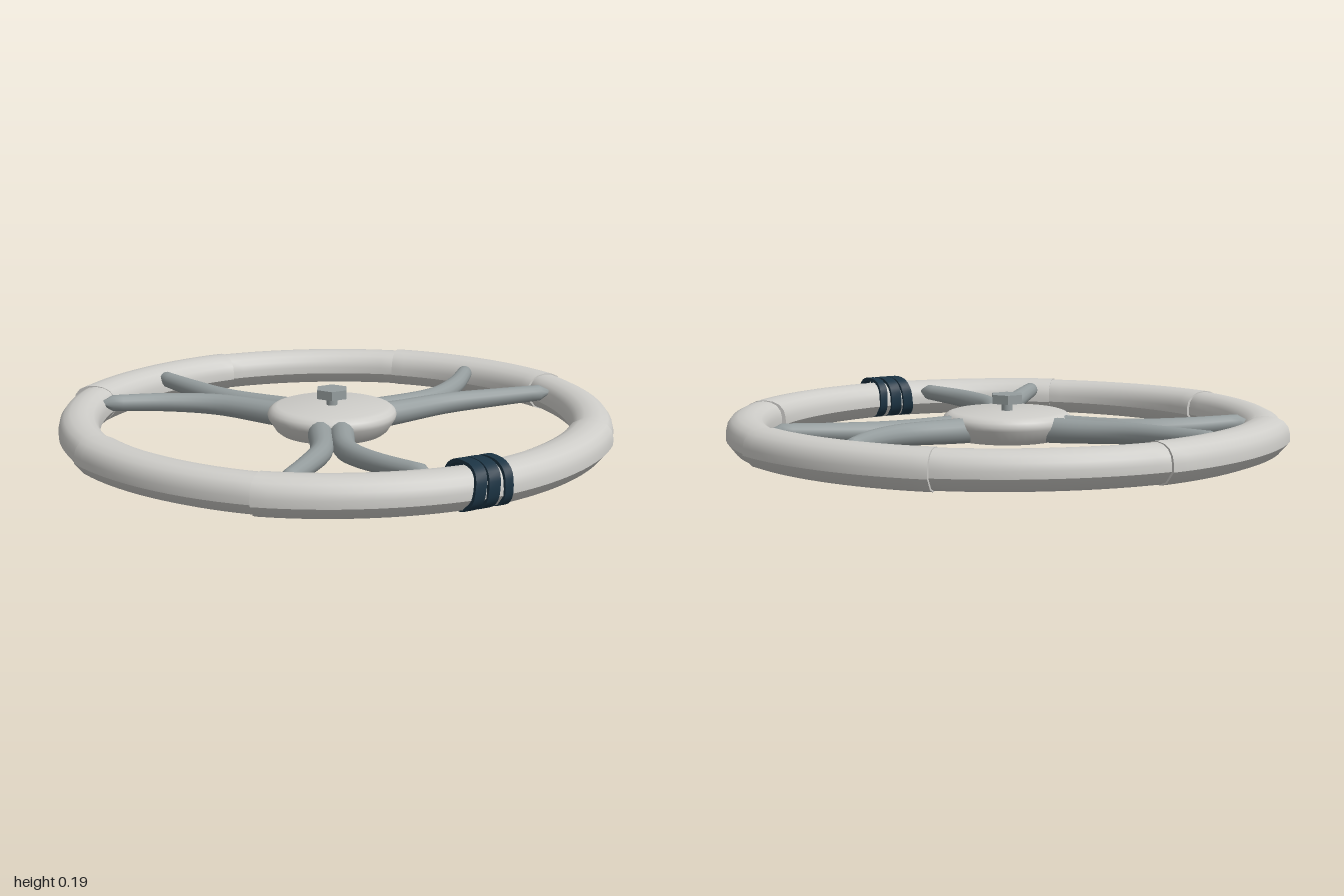
import * as THREE from 'three';
import { toCreasedNormals } from 'three/addons/utils/BufferGeometryUtils.js';

const mat = (name, color) => {
  const m = new THREE.MeshStandardMaterial({ color });
  m.name = name;
  return m;
};
const V = (x, y, z) => new THREE.Vector3(x, y, z);

// Skin a list of rings (each counter-clockwise about the sweep direction)
function skin(rings, closed, crease) {
  const n = rings[0].length, k = rings.length, pos = [], idx = [];
  rings.forEach(r => r.forEach(p => pos.push(p.x, p.y, p.z)));
  for (let i = 0; i < (closed ? k : k - 1); i++) {
    for (let j = 0; j < n; j++) {
      const i2 = (i + 1) % k, j2 = (j + 1) % n;
      const a = i * n + j, b = i * n + j2, c = i2 * n + j2, d = i2 * n + j;
      idx.push(a, b, c, a, c, d);
    }
  }
  if (!closed) {
    [0, k - 1].forEach((i, end) => {
      const c = rings[i].reduce((s, p) => s.add(p), V(0, 0, 0)).divideScalar(n);
      const ci = pos.length / 3;
      pos.push(c.x, c.y, c.z);
      for (let j = 0; j < n; j++) {
        const a = i * n + j, b = i * n + (j + 1) % n;
        idx.push(ci, end ? a : b, end ? b : a);
      }
    });
  }
  const g = new THREE.BufferGeometry();
  g.setAttribute('position', new THREE.Float32BufferAttribute(pos, 3));
  g.setIndex(idx);
  return toCreasedNormals(g, crease);
}

// Rim cross-section: outward fraction of the half width, height
const half = [[1, 0.05], [1, 0.075], [0.92, 0.1], [0.72, 0.12], [0.4, 0.132]];
const under = [[-0.6, 0.012], [-0.2, 0], [0.2, 0], [0.6, 0.012]];
const profile = [...half, [0, 0.136], ...half.map(([u, y]) => [-u, y]).reverse(), ...under];

// One rim sleeve covering an eighth of the circle, clockwise from the back
function sleeve(i, [r0, r1, w0, w1]) {
  const rings = [], steps = 14;
  for (let s = 0; s <= steps; s++) {
    const t = s / steps, a = (i + t) * Math.PI / 4;
    const r = r0 + (r1 - r0) * t - 0.008 * Math.sin(Math.PI * t);
    const w = w0 + (w1 - w0) * t, h = 0.6 + 0.4 * w / 0.081;
    rings.push(profile.map(([u, y]) => {
      const q = r + u * w;
      return V(q * Math.sin(a), 0.068 + (y - 0.068) * h, -q * Math.cos(a));
    }));
  }
  return skin(rings, false, 0.6);
}

// Tapered spoke prong with a rounded tip
function prong(points, rBase, rTip) {
  const curve = new THREE.CatmullRomCurve3(points);
  const up = V(0, 1, 0), rings = [], steps = 22;
  for (let s = 0; s <= steps; s++) {
    const t = s / steps, p = curve.getPointAt(t), d = curve.getTangentAt(t);
    const side = new THREE.Vector3().crossVectors(up, d).normalize();
    const lift = new THREE.Vector3().crossVectors(d, side);
    const tip = t > 0.95 ? Math.sqrt(Math.max(0.1, 1 - ((t - 0.95) / 0.05) ** 2)) : 1;
    const r = (rBase + (rTip - rBase) * t) * tip;
    rings.push(Array.from({ length: 14 }, (_, j) => {
      const f = j / 14 * Math.PI * 2;
      return p.clone().addScaledVector(side, r * Math.cos(f)).addScaledVector(lift, r * Math.sin(f));
    }));
  }
  return skin(rings, false, 0.9);
}

// Flat strap looped around the rim at the front
function strap(x, width, tilt) {
  const rings = [], steps = 28, sp = v => Math.sign(v) * Math.abs(v) ** 0.77;
  for (let s = 0; s < steps; s++) {
    const f = s / steps * Math.PI * 2, c = sp(Math.cos(f)), n = sp(Math.sin(f));
    const corner = (o, dx) =>
      V(x + tilt * Math.sin(f) + dx, 0.079 + n * (0.071 + o), 0.902 + c * (0.086 + o));
    const w = width / 2;
    rings.push([corner(0.006, w), corner(-0.006, w), corner(-0.006, -w), corner(0.006, -w)]);
  }
  return skin(rings, true, 0.6);
}

export function createModel() {
  const model = new THREE.Group();
  model.name = 'handwheel';
  const pale = mat('pale grey', 0xcecdc9);
  const metal = mat('steel grey', 0x959d9e);
  const navy = mat('dark navy', 0x1c3444);
  const add = (parent, name, geometry, material) => {
    const m = new THREE.Mesh(geometry, material);
    m.name = name;
    parent.add(m);
    return m;
  };

  // Rim: eight overlapping sleeves [start radius, end radius, start half width, end half width]
  const rim = new THREE.Group();
  rim.name = 'rim';
  model.add(rim);
  [
    [0.908, 0.9, 0.073, 0.072], [0.906, 0.909, 0.081, 0.081],
    [0.909, 0.898, 0.071, 0.072], [0.893, 0.906, 0.081, 0.08],
    [0.906, 0.912, 0.079, 0.081], [0.907, 0.909, 0.071, 0.08],
    [0.909, 0.918, 0.07, 0.072], [0.926, 0.909, 0.083, 0.082],
  ].forEach((s, i) => add(rim, `rimSleeve${i + 1}`, sleeve(i, s), pale));

  // Hub, slightly off centre, with spokes and nut
  const centre = new THREE.Group();
  centre.name = 'centre';
  centre.position.set(-0.015, 0, -0.01);
  model.add(centre);
  const hubProfile = [[0, 0.03], [0.185, 0.03], [0.2, 0.042], [0.226, 0.082], [0.229, 0.095],
    [0.224, 0.11], [0.21, 0.121], [0.195, 0.126], [0, 0.128]];
  const hub = new THREE.LatheGeometry(hubProfile.map(p => new THREE.Vector2(...p)), 48);
  add(centre, 'hub', toCreasedNormals(hub, 0.6), pale);
  const stem = add(centre, 'nutStem', new THREE.CylinderGeometry(0.02, 0.02, 0.04, 16), metal);
  stem.position.y = 0.14;
  const nut = add(centre, 'hexNut', toCreasedNormals(new THREE.CylinderGeometry(0.06, 0.06, 0.032, 6), 0.5), metal);
  nut.position.y = 0.17;
  nut.rotation.y = Math.PI / 6;

  // Three forked spokes
  const backProng = prong([V(0.1, 0.075, -0.03), V(0.22, 0.075, -0.035), V(0.45, 0.082, -0.055),
    V(0.61, 0.09, -0.145), V(0.78, 0.1, -0.31)], 0.047, 0.028);
  const frontProng = prong([V(0.1, 0.075, 0.035), V(0.22, 0.075, 0.037), V(0.46, 0.082, 0.032),
    V(0.65, 0.09, 0.075), V(0.848, 0.1, 0.134)], 0.047, 0.028);
  for (let i = 0; i < 3; i++) {
    const spoke = new THREE.Group();
    spoke.name = `spoke${i + 1}`;
    spoke.rotation.y = i * Math.PI * 2 / 3;
    add(spoke, 'backProng', backProng, metal);
    add(spoke, 'frontProng', frontProng, metal);
    centre.add(spoke);
  }

  // Straps tied around the front of the rim
  [[-0.064, 0.04, 0.014], [-0.013, 0.042, 0.008], [0.042, 0.03, 0]]
    .forEach((s, i) => add(model, `strap${i + 1}`, strap(...s), navy));

  return model;
}
